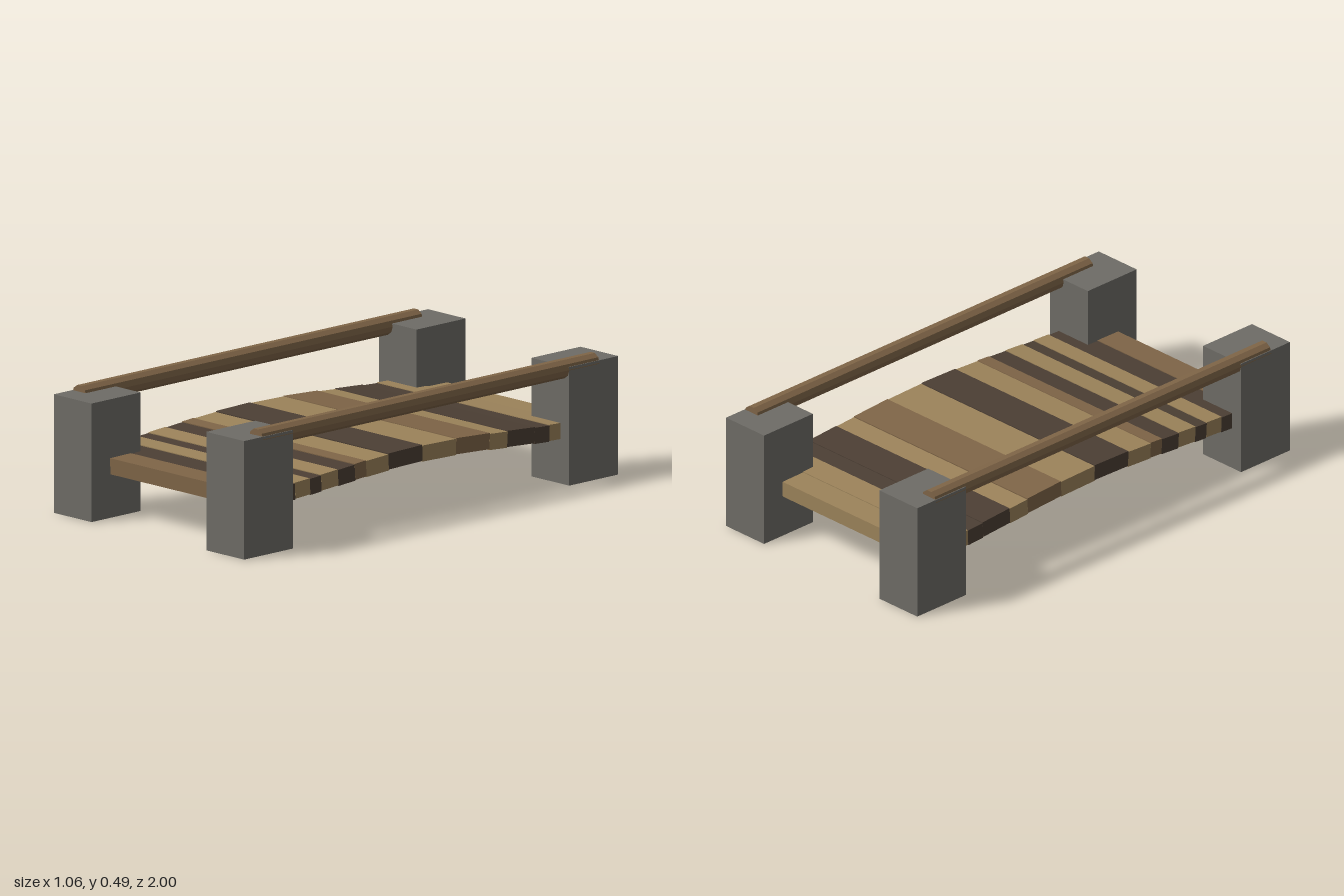
import * as THREE from 'three';

const material = (name, color) => {
  const m = new THREE.MeshStandardMaterial({ color, flatShading: true });
  m.name = name;
  return m;
};

export function createModel() {
  const stone = material('stone', 0x6e6c66);
  const tan = material('tan wood', 0x9c835a);
  const brown = material('brown wood', 0x7f6547);
  const dark = material('dark wood', 0x4c3f34);

  const model = new THREE.Group();
  model.name = 'footbridge';
  const add = (parent, name, geometry, mat, x, y, z) => {
    const mesh = new THREE.Mesh(geometry, mat);
    mesh.name = name;
    mesh.position.set(x, y, z);
    parent.add(mesh);
    return mesh;
  };

  // Four stone corner posts and two round handrails
  const postGeo = new THREE.BoxGeometry(0.21, 0.47, 0.262);
  const railGeo = new THREE.CylinderGeometry(0.0385, 0.0385, 1.8, 10);
  railGeo.rotateY(Math.PI / 2).rotateX(Math.PI / 2);
  for (const side of [-1, 1]) {
    const label = side > 0 ? 'left' : 'right';
    for (const end of [-1, 1]) {
      add(model, `${label}${end > 0 ? 'Front' : 'Back'}Post`, postGeo, stone, side * 0.424, 0.235, end * 0.869);
    }
    add(model, `${label}Handrail`, railGeo, brown, side * 0.491, 0.458, 0);
  }

  // Gently arched deck: each plank starts where the previous one ends
  const deck = new THREE.Group();
  deck.name = 'deck';
  model.add(deck);
  const thickness = 0.064;
  const top = (z) => 0.257 + 0.02 * Math.cos(Math.PI * z / 0.9);
  const planks = [ // far edge along z, wood
    [-0.79, tan], [-0.68, tan], [-0.6, dark], [-0.455, dark], [-0.36, tan], [-0.18, brown], [0, tan],
    [0.18, dark], [0.3, tan], [0.36, brown], [0.45, dark], [0.54, tan],
    [0.6, dark], [0.68, tan], [0.79, dark], [0.9, brown],
  ];
  let start = -0.9;
  planks.forEach(([finish, wood], i) => {
    const mid = (start + finish) / 2;
    const tilt = Math.atan2(top(start) - top(finish), finish - start);
    // alternate planks sit slightly lower, leaving small steps
    const y = top(mid) - thickness / 2 - (i % 2 ? 0 : 0.003);
    const geo = new THREE.BoxGeometry(0.96, thickness, finish - start);
    add(deck, `plank${i + 1}`, geo, wood, 0, y, mid).rotation.x = tilt;
    start = finish;
  });

  return model;
}
